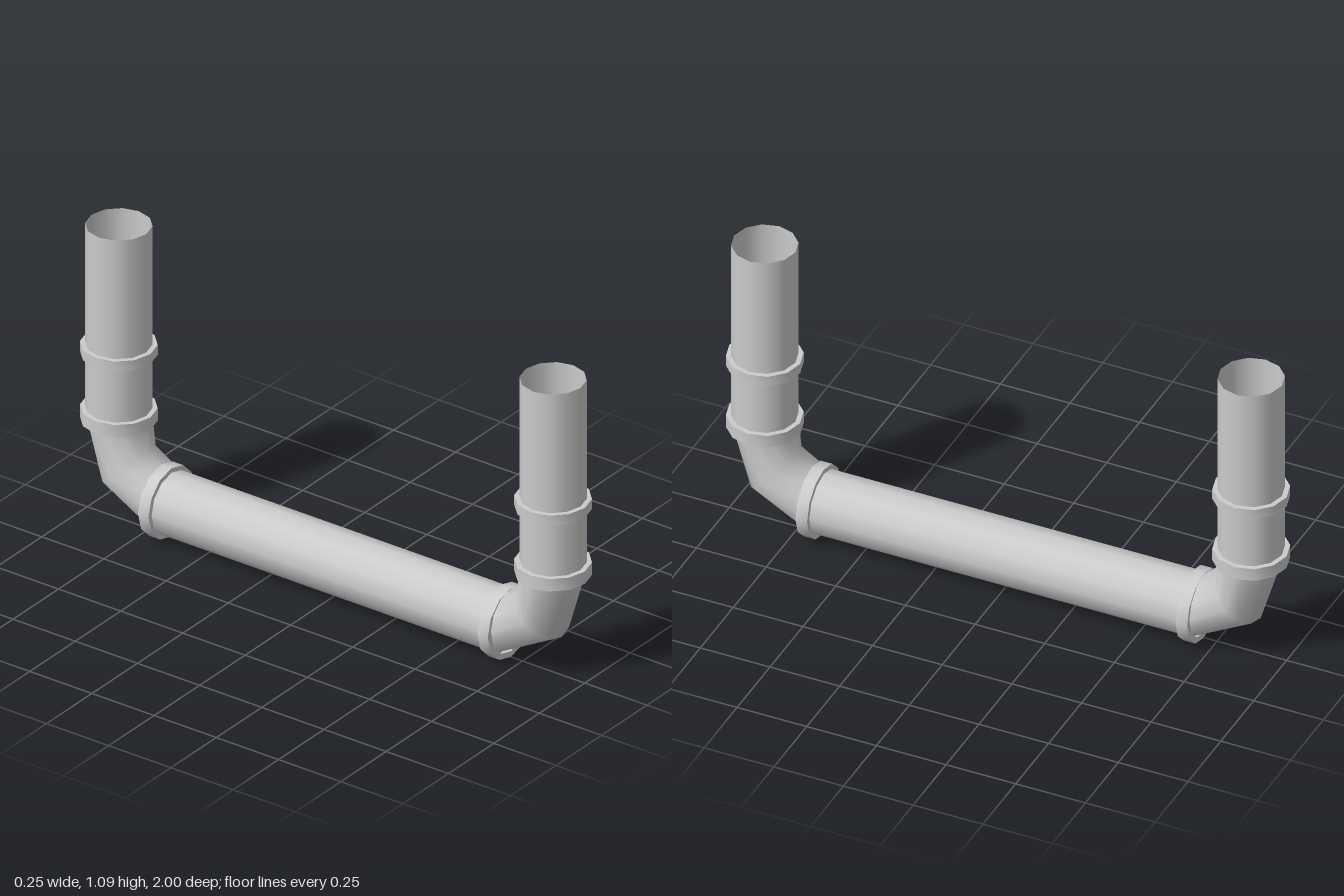
import * as THREE from 'three';
import { toCreasedNormals } from 'three/addons/utils/BufferGeometryUtils.js';

const SIDES = 12, R = 0.11, COLLAR_R = 0.127;
const AXIS_Y = 0.128, AXIS_Z = 0.873, TOP = 1.09;

const material = new THREE.MeshStandardMaterial({ color: 0xcccccc, side: THREE.DoubleSide });

function mesh(name, geometry) {
  const m = new THREE.Mesh(geometry, material);
  m.name = name;
  return m;
}

// Open-ended pipe along y
function pipe(name, length) {
  return mesh(name, new THREE.CylinderGeometry(R, R, length, SIDES, 1, true));
}

// Square-edged joint ring around y
function collar(name, height) {
  const h = height / 2, inner = R - 0.004;
  const profile = [[inner, -h], [COLLAR_R, -h], [COLLAR_R, h], [inner, h]]
    .map(([x, y]) => new THREE.Vector2(x, y));
  return mesh(name, toCreasedNormals(new THREE.LatheGeometry(profile, SIDES), 0.9));
}

// Mitred elbow: three rings, each given as centre y, centre z, tilt and in-plane radius
function elbow() {
  const rings = [
    [AXIS_Y, 0.68, 0, R],
    [0.216, 0.832, Math.PI / 4, 0.106],
    [0.39, AXIS_Z, Math.PI / 2, R],
  ];
  const positions = [], index = [];
  rings.forEach(([y, z, tilt, radius], k) => {
    for (let i = 0; i < SIDES; i++) {
      const t = (i / SIDES) * Math.PI * 2, s = radius * Math.sin(t);
      positions.push(R * Math.cos(t), y + s * Math.cos(tilt), z - s * Math.sin(tilt));
      if (k < rings.length - 1) {
        const a = k * SIDES + i, b = k * SIDES + (i + 1) % SIDES;
        index.push(a, b, a + SIDES, b, b + SIDES, a + SIDES);
      }
    }
  });
  const g = new THREE.BufferGeometry();
  g.setAttribute('position', new THREE.Float32BufferAttribute(positions, 3));
  g.setIndex(index);
  g.computeVertexNormals();
  return mesh('elbow', g);
}

// One end of the run: elbow, two-piece riser and its collars
function pipeEnd(name) {
  const end = new THREE.Group();
  end.name = name;
  end.add(elbow());

  const addUpright = (part, y) => {
    part.position.set(0, y, AXIS_Z);
    end.add(part);
  };
  addUpright(pipe('lowerRiser', 0.24), 0.51);
  addUpright(pipe('upperRiser', TOP - 0.63), (TOP + 0.63) / 2);
  addUpright(collar('lowerRiserCollar', 0.046), 0.392);
  addUpright(collar('upperRiserCollar', 0.037), 0.632);

  const runCollar = collar('runCollar', 0.042);
  runCollar.rotation.x = Math.PI / 2;
  runCollar.position.set(0, AXIS_Y, 0.682);
  end.add(runCollar);
  return end;
}

export function createModel() {
  const model = new THREE.Group();
  model.name = 'pipeRun';

  // Long horizontal pipe
  const run = pipe('horizontalPipe', 1.36);
  run.rotation.x = Math.PI / 2;
  run.position.y = AXIS_Y;
  model.add(run);

  // Matching ends, the back one turned around
  const back = pipeEnd('backEnd');
  back.rotation.y = Math.PI;
  model.add(pipeEnd('frontEnd'), back);
  return model;
}
